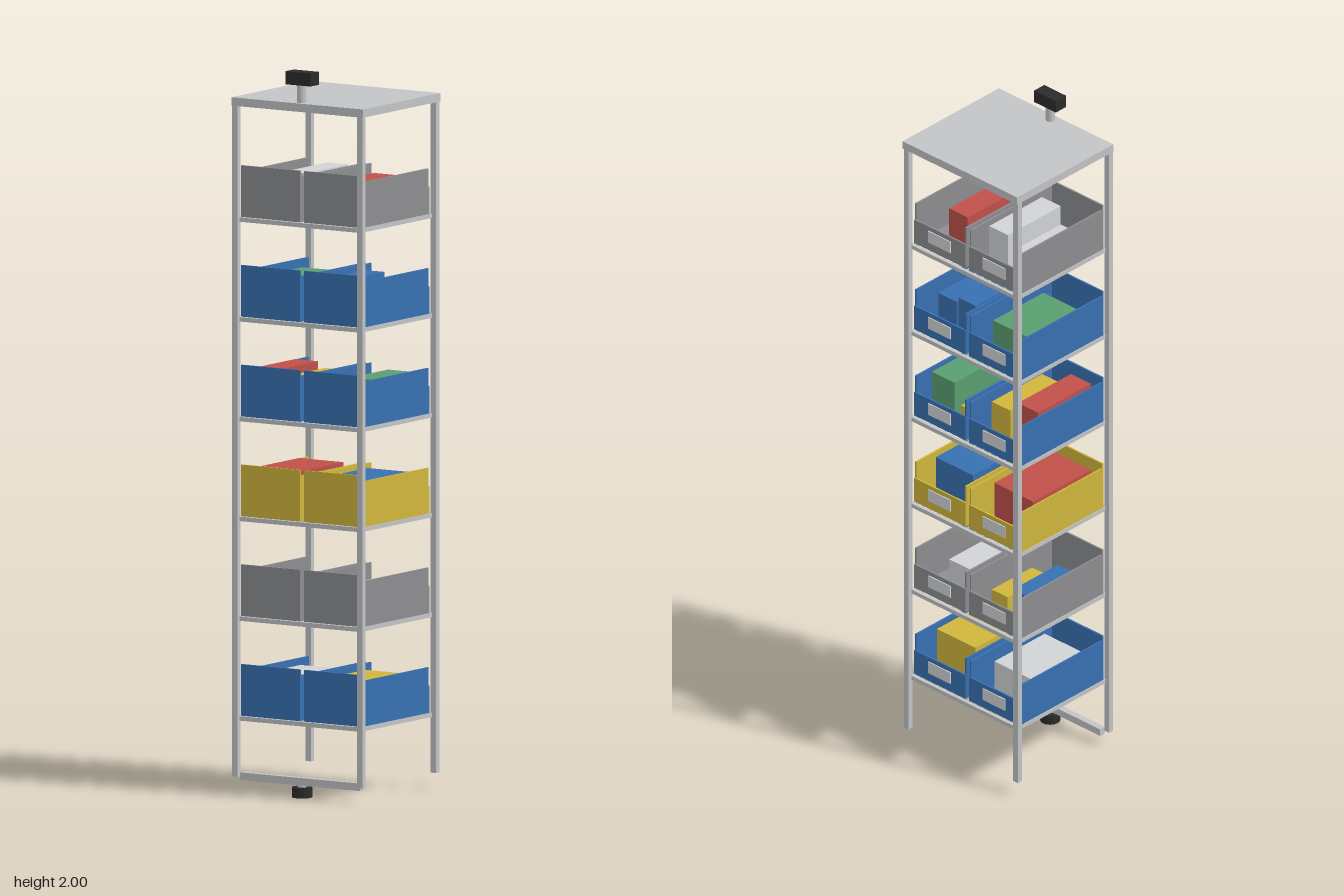
import * as THREE from 'three';

const mat = (name, color) => {
  const m = new THREE.MeshStandardMaterial({ color });
  m.name = name;
  return m;
};

export function createModel() {
  const M = {
    metal: mat('light metal', 0xc2c4c6),
    black: mat('black rubber', 0x2b2b2b),
    gray: mat('gray plastic', 0x8d8e91),
    blue: mat('blue', 0x3870b2),
    yellow: mat('yellow', 0xd0b63c),
    red: mat('red carton', 0xc0504a),
    green: mat('green carton', 0x5a9e70),
    white: mat('white carton', 0xd2d3d5),
  };
  const root = new THREE.Group();
  root.name = 'shelfTower';

  // Box given by its min and max on each axis
  const box = (parent, name, m, x0, x1, y0, y1, z0, z1) => {
    const mesh = new THREE.Mesh(new THREE.BoxGeometry(x1 - x0, y1 - y0, z1 - z0), m);
    mesh.position.set((x0 + x1) / 2, (y0 + y1) / 2, (z0 + z1) / 2);
    mesh.name = name;
    parent.add(mesh);
    return mesh;
  };
  const cylinder = (name, m, r, y0, y1, z) => {
    const mesh = new THREE.Mesh(new THREE.CylinderGeometry(r, r, y1 - y0, 24), m);
    mesh.position.set(0, (y0 + y1) / 2, z);
    mesh.name = name;
    root.add(mesh);
  };

  // Frame: top plate, four posts, bottom front rail
  box(root, 'topPlate', M.metal, -0.215, 0.215, 1.892, 1.915, -0.195, 0.188);
  for (const x of [-0.205, 0.205]) {
    for (const z of [-0.183, 0.18]) {
      box(root, 'post', M.metal, x - 0.009, x + 0.009, 0.043, 1.892, z - 0.008, z + 0.008);
    }
  }
  box(root, 'bottomRail', M.metal, -0.196, 0.196, 0.033, 0.054, 0.155, 0.174);

  // Ceiling clamp and floor foot
  cylinder('clampStem', M.metal, 0.013, 1.915, 1.965, 0.165);
  box(root, 'clampPad', M.black, -0.041, 0.041, 1.964, 2.0, 0.143, 0.184);
  cylinder('footStem', M.metal, 0.012, 0.025, 0.035, 0.164);
  cylinder('foot', M.black, 0.028, 0, 0.028, 0.164);

  // Wire shelf with its top at y
  const addShelf = (y) => {
    const g = new THREE.Group();
    g.name = 'wireShelf';
    root.add(g);
    for (const s of [-1, 1]) {
      box(g, 'shelfSideBar', M.metal, s * 0.196 - 0.005, s * 0.196 + 0.005, y - 0.012, y, -0.175, 0.173);
      box(g, 'shelfEndBar', M.metal, -0.196, 0.196, y - 0.012, y, s * 0.173 - 0.006, s * 0.173 + 0.004);
    }
    for (let i = 1; i < 14; i++) {
      const x = -0.196 + i * 0.028;
      box(g, 'shelfWire', M.metal, x - 0.002, x + 0.002, y - 0.006, y - 0.002, -0.17, 0.17);
    }
    for (let i = 1; i < 7; i++) {
      const z = -0.173 + i * 0.0495;
      box(g, 'shelfCrossWire', M.metal, -0.194, 0.194, y - 0.01, y - 0.006, z - 0.002, z + 0.002);
    }
  };

  // Open bin: tall wall at +z, low labelled lip at -z
  const addBin = (m, side, y) => {
    const g = new THREE.Group();
    g.name = 'bin';
    root.add(g);
    const c = side * 0.1025, x0 = c - 0.096, x1 = c + 0.096, t = 0.005;
    box(g, 'binFloor', m, x0, x1, y, y + t, -0.163, 0.165);
    box(g, 'binTallWall', m, x0, x1, y, y + 0.142, 0.16, 0.165);
    box(g, 'binSide', m, x0, x0 + t, y, y + 0.126, -0.162, 0.16);
    box(g, 'binSide', m, x1 - t, x1, y, y + 0.126, -0.162, 0.16);
    box(g, 'binLip', m, x0, x1, y, y + 0.075, -0.166, -0.161);
    box(g, 'binLabel', M.white, c - 0.042, c + 0.042, y + 0.026, y + 0.062, -0.169, -0.166);
  };

  // Levels from the bottom: bin colour, then cartons [colour, x0, x1, height, z0, z1]
  const levels = [
    ['blue', [['yellow', 0.04, 0.185, 0.115, -0.09, 0.09], ['white', -0.18, -0.04, 0.11, -0.1, 0.1]]],
    ['gray', [['white', 0.05, 0.13, 0.09, -0.1, 0.08], ['yellow', -0.09, -0.03, 0.06, -0.1, 0.06],
      ['blue', -0.17, -0.1, 0.085, -0.09, 0.09]]],
    ['yellow', [['blue', 0.04, 0.18, 0.12, -0.1, 0.1], ['red', -0.185, -0.04, 0.13, -0.1, 0.13]]],
    ['blue', [['green', 0.1, 0.185, 0.12, -0.11, 0.08], ['yellow', 0.03, 0.085, 0.05, -0.1, 0.08],
      ['yellow', -0.1, -0.03, 0.11, -0.1, 0.1], ['red', -0.185, -0.11, 0.13, -0.08, 0.13]]],
    ['blue', [['blue', 0.11, 0.18, 0.09, -0.09, 0.09], ['blue', 0.03, 0.095, 0.115, -0.1, 0.08],
      ['green', -0.18, -0.045, 0.105, -0.11, 0.09]]],
    ['gray', [['red', 0.06, 0.13, 0.11, -0.1, 0.11], ['white', -0.1, -0.03, 0.125, -0.11, 0.1],
      ['white', -0.18, -0.11, 0.075, -0.09, 0.09]]],
  ];
  levels.forEach(([binColor, cartons], i) => {
    const y = 0.209 + i * 0.275;
    addShelf(y);
    for (const side of [-1, 1]) addBin(M[binColor], side, y);
    for (const [color, x0, x1, h, z0, z1] of cartons) {
      box(root, 'carton', M[color], x0, x1, y + 0.005, y + h, z0, z1);
    }
  });

  return root;
}
